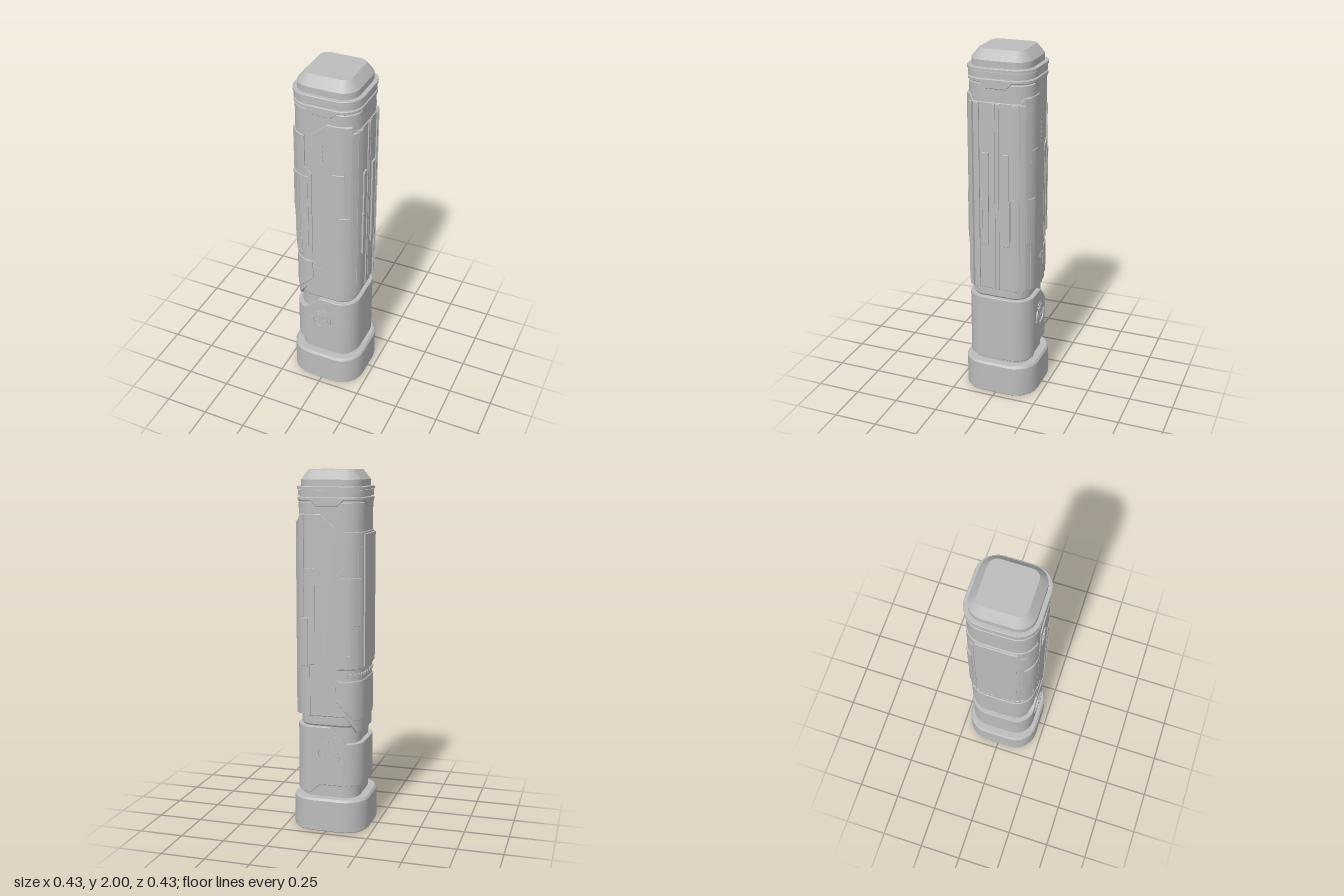
import * as THREE from 'three';
import { toCreasedNormals } from 'three/addons/utils/BufferGeometryUtils.js';

// Rounded-square path: F = half flat, R = corner radius, Q = length of one side
const F = 0.08, R = 0.11, Q = 2 * F + R * Math.PI / 2;
const STEP = R * Math.PI / 12;

// Point at path length u (0 = front centre, Q = +x centre), pushed out by d (null = axis)
function at(u, d, y) {
  if (d === null) return new THREE.Vector3(0, y, 0);
  const k = Math.round(u / Q), v = u - k * Q, a = Math.max(0, Math.abs(v) - F) / R;
  const x = a > 0 ? Math.sign(v) * (F + (R + d) * Math.sin(a)) : v;
  const z = F + (R + d) * Math.cos(a), t = k * Math.PI / 2;
  return new THREE.Vector3(x * Math.cos(t) + z * Math.sin(t), y, z * Math.cos(t) - x * Math.sin(t));
}

// All path lengths where corner arcs need a vertex
const stops = [];
for (let k = -3; k <= 4; k++) for (let i = 0; i <= 6; i++) stops.push(k * Q + F + i * STEP);

// Add in-between columns so that panels follow the corners
function refine(cols) {
  const out = [cols[0]];
  for (let i = 1; i < cols.length; i++) {
    const a = cols[i - 1], b = cols[i];
    for (const s of stops) {
      if (s > a[0] + 1e-4 && s < b[0] - 1e-4) {
        const t = (s - a[0]) / (b[0] - a[0]);
        out.push([s, a[1] + (b[1] - a[1]) * t, a[2] + (b[2] - a[2]) * t]);
      }
    }
    out.push(b);
  }
  return out;
}

// Mirror columns front to back about path length c
const flip = (cols, c) => cols.map(([u, b, t]) => [2 * c - u, b, t]).reverse();

// Sweep a radial profile along columns [u, bottom, top]
function loft(cols, profile, caps) {
  const rows = refine(cols).map(([u, b, t]) => profile(b, t).map(([d, y]) => at(u, d, y)));
  const pos = [], ab = new THREE.Vector3(), ac = new THREE.Vector3();
  const tri = (a, b, c) => {
    ab.subVectors(b, a); ac.subVectors(c, a);
    if (ab.cross(ac).length() > 1e-9) for (const p of [a, b, c]) pos.push(p.x, p.y, p.z);
  };
  for (let i = 0; i + 1 < rows.length; i++) {
    const p = rows[i], q = rows[i + 1];
    for (let j = 0; j + 1 < p.length; j++) {
      tri(p[j], q[j], q[j + 1]);
      tri(p[j], q[j + 1], p[j + 1]);
    }
  }
  if (caps) {
    const p = rows[0], q = rows[rows.length - 1];
    for (let j = 1; j + 1 < p.length; j++) { tri(p[0], p[j], p[j + 1]); tri(q[0], q[j + 1], q[j]); }
  }
  const g = new THREE.BufferGeometry();
  g.setAttribute('position', new THREE.Float32BufferAttribute(pos, 3));
  return toCreasedNormals(g, 0.5);
}

export function createModel() {
  const model = new THREE.Group();
  model.name = 'handle';
  const grey = new THREE.MeshStandardMaterial({ color: 0xbcbcbc });
  grey.name = 'grey';
  const add = (name, geo, parent = model) => {
    const m = new THREE.Mesh(geo, grey);
    m.name = name;
    parent.add(m);
    return m;
  };
  // Full ring from a [offset, y] profile
  const ring = (name, prof) => add(name, loft([[-2 * Q, 0, 0], [2 * Q, 0, 0]], () => prof));
  // Raised panel with a small bevel
  const panel = (name, cols, d, inner = -0.025, e = 0.003) => add(name, loft(cols, (b, t) => [
    [inner, b], [d - e, b], [d, b + e], [d, t - e], [d - e, t], [inner, t]], true));
  // Rectangular strip plus its front-to-back mirror
  const strips = (name, c, list) => list.forEach(([u0, u1, y0, y1, d]) => {
    const cols = [[u0, y0, y1], [u1, y0, y1]];
    panel(name, cols, d, -0.01, 0.002);
    panel(name, flip(cols, c), d, -0.01, 0.002);
  });
  const around = half => half.concat(flip(half, Q));

  // Pommel, inner core and domed cap
  ring('pommel', [[null, 0], [0.023, 0], [0.026, 0.004], [0.026, 0.178], [0.016, 0.19], [null, 0.19]]);
  ring('core', [[-0.025, 0.18], [-0.025, 0.6], [-0.018, 0.61], [-0.018, 1.91]]);
  ring('cap', [[-0.02, 1.89], [-0.02, 1.948], [-0.026, 1.956], [-0.062, 2], [null, 2]]);

  // Collar and shell wrap the whole body with slanted steps
  panel('lowerCollar', around([[-Q, 0.265, 0.51], [-0.11, 0.265, 0.51], [-0.02, 0.265, 0.6],
    [0.04, 0.265, 0.6], [0.095, 0.215, 0.6], [Q, 0.215, 0.6]]), 0.001, -0.03);
  panel('mainShell', around([[-Q, 0.57, 1.83], [-0.18, 0.57, 1.83], [-0.105, 0.66, 1.83],
    [Q, 0.66, 1.83]]), -0.006, -0.03);

  // Upper collar, dipping at the middle of every side
  const dip = [];
  for (let k = -1; k < 3; k++) {
    for (const [v, y] of [[-0.09, 1.838], [-0.055, 1.806], [0.055, 1.806], [0.09, 1.838]]) dip.push([k * Q + v, y, 1.856]);
  }
  dip.unshift([-1.5 * Q, 1.838, 1.856]);
  dip.push([2.5 * Q, 1.838, 1.856]);
  panel('upperCollar', dip, 0);
  ring('upperBand', [[-0.02, 1.862], [-0.002, 1.862], [-0.002, 1.893], [-0.02, 1.893]]);
  ring('upperRim', [[-0.02, 1.897], [0.003, 1.897], [0.003, 1.91], [0, 1.913], [-0.03, 1.913]]);

  // Grip plate around +x
  const grip = [[-0.05, 0.662, 1.695], [0.035, 0.662, 1.768], [Q - 0.16, 0.662, 1.768],
    [Q - 0.135, 0.662, 1.735], [Q, 0.662, 1.735]];
  panel('gripPlate', around(grip), 0);
  strips('gripRib', Q, [
    [0.095, 0.13, 0.662, 1.48, 0.004], [0.068, 0.095, 0.95, 1.48, 0.004],
    [0.105, 0.16, 0.94, 1.21, 0.009], [0.132, 0.165, 1.21, 1.765, 0.006],
    [0.172, 0.2, 0.662, 1.73, 0.012], [0.207, 0.24, 0.662, 1.73, 0.006],
    [Q - 0.075, Q - 0.04, 0.93, 1.46, 0.009], [Q - 0.084, Q - 0.075, 0.93, 1.2, 0.012],
    [Q - 0.02, Q - 0.003, 0.662, 1.73, 0.006],
  ]);

  // Side plate around -x, with a stepped front edge
  const side = [[-Q, 0.64, 1.675], [-0.155, 0.64, 1.675], [-0.095, 0.702, 1.675], [-0.095, 0.702, 1.49],
    [-0.057, 0.742, 1.45]];
  const sideAll = (cols, name, d) => panel(name, flip(cols, -Q).concat(cols), d);
  sideAll(side.map(([u, b]) => [u, b, 0.865]), 'sidePlateLower', 0);
  sideAll(side.map(([u, , t]) => [u, 0.925, t]), 'sidePlateUpper', 0);
  sideAll([[-Q, 0.94, 1.665], [-0.225, 0.94, 1.665]], 'sideInset', 0.009);
  strips('sideStep', -Q, [
    [-0.13, -0.077, 0.935, 1.43, 0.004], [-0.175, -0.13, 0.935, 1.43, 0.007],
    [-0.205, -0.177, 0.935, 1.6, 0.003], [-0.13, -0.118, 0.935, 1.01, 0.008],
    [-0.19, -0.15, 1.17, 1.43, 0.01],
  ]);

  // Row of small studs in the side groove
  for (let i = 0; i < 7; i++) {
    const u = -0.125 - i * 0.028;
    strips('sideStud', -Q, [[u - 0.016, u, 0.889, 0.907, 0.001]]);
  }

  // Details on the front, repeated on the back
  const detail = (name, shape, z, depth) => {
    const g = new THREE.ExtrudeGeometry(shape, { depth, bevelEnabled: false, curveSegments: 12 });
    g.translate(0, 0, z);
    add(name, toCreasedNormals(g, 0.5));
    // Back copy: mirror z and restore the face order
    const back = g.clone().toNonIndexed().scale(1, 1, -1), p = back.attributes.position;
    const a = new THREE.Vector3(), b = new THREE.Vector3();
    for (let i = 0; i < p.count; i += 3) {
      a.fromBufferAttribute(p, i + 1); b.fromBufferAttribute(p, i + 2);
      p.setXYZ(i + 1, b.x, b.y, b.z); p.setXYZ(i + 2, a.x, a.y, a.z);
    }
    add(name, toCreasedNormals(back, 0.5));
  };
  const poly = pts => new THREE.Shape(pts.map(([x, y]) => new THREE.Vector2(x, y)));
  const arc = (r0, r1, a0, a1) => {
    const s = new THREE.Shape();
    s.absarc(-0.005, 0.45, r1, a0, a1, false);
    s.absarc(-0.005, 0.45, r0, a1, a0, true);
    return s;
  };

  // Slanted vents
  for (let i = 0; i < 6; i++) {
    const y = 1.468 + i * 0.026;
    detail('vent', poly([[-0.03, y], [0.01, y + 0.026], [0.01, y + 0.038], [-0.03, y + 0.012]]), 0.187, 0.006);
  }
  // Small latch beside the grip seam
  detail('latch', poly([[-0.052, 0.81], [0.004, 0.81], [0.004, 0.832], [-0.052, 0.832]]), 0.186, 0.008);

  // Round button with a split guard
  const disc = new THREE.Shape();
  disc.absarc(-0.005, 0.45, 0.045, 0, Math.PI * 2, false);
  detail('button', disc, 0.185, 0.009);
  for (let i = 0; i < 3; i++) {
    const a = 0.9 + i * Math.PI * 2 / 3;
    detail('buttonGuard', arc(0.05, 0.06, a, a + 1.75), 0.185, 0.015);
    detail('buttonLobe', arc(0.058, 0.073, a + 0.15, a + 0.75), 0.185, 0.011);
    detail('buttonSpoke', arc(0.012, 0.038, a + 0.3, a + 1.4), 0.19, 0.007);
  }
  return model;
}
